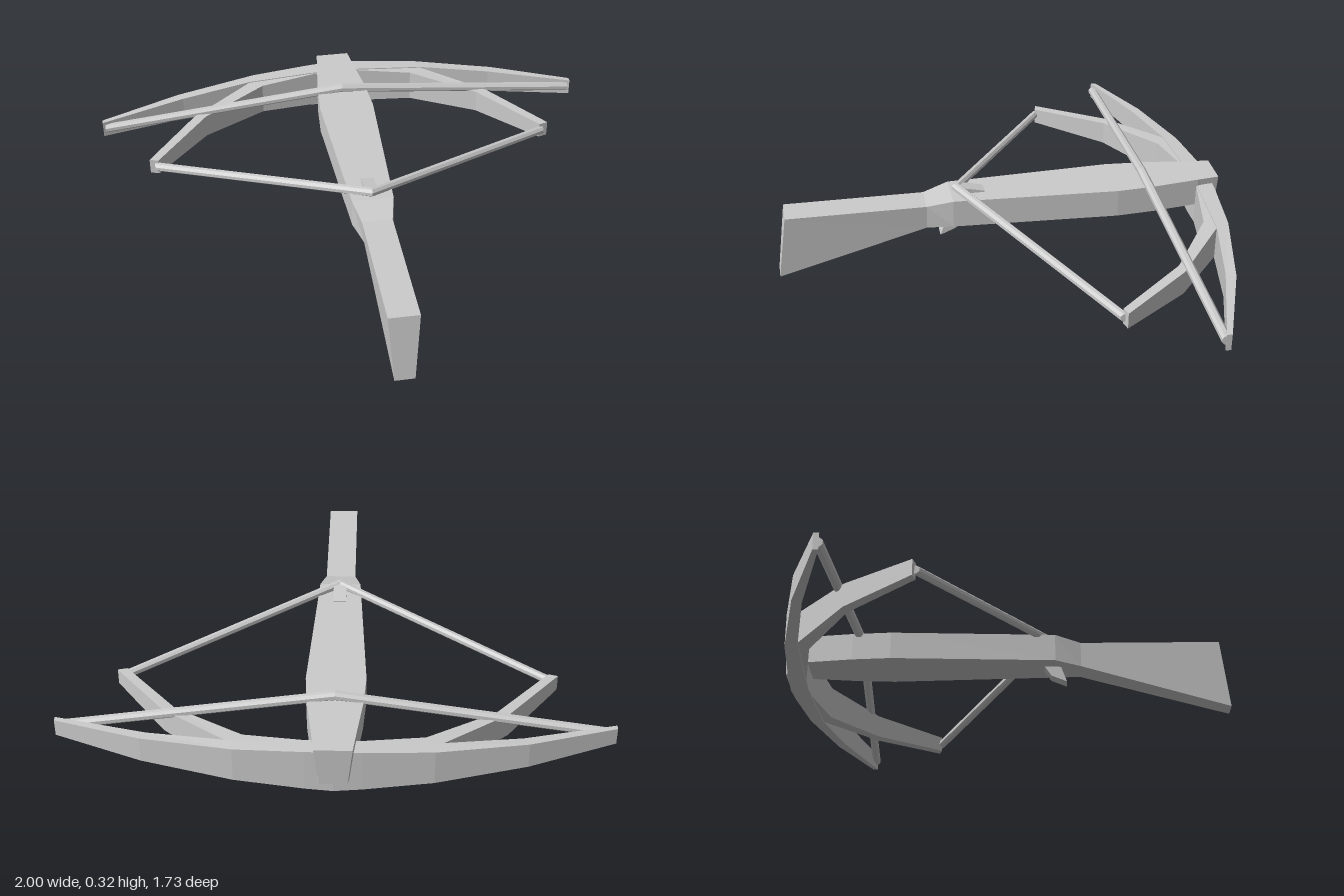
import * as THREE from 'three';

const material = new THREE.MeshStandardMaterial({ color: 0xcccccc, flatShading: true });

// Skin a series of equal-length rings (counter-clockwise seen from the last one) and cap both ends
function loft(name, rings) {
  const n = rings[0].length, last = rings.length - 1, index = [];
  for (let i = 0; i < last; i++) {
    for (let j = 0; j < n; j++) {
      const k = (j + 1) % n, a = i * n, b = a + n;
      index.push(a + j, a + k, b + k, a + j, b + k, b + j);
    }
  }
  for (let j = 1; j < n - 1; j++) {
    index.push(0, j + 1, j);
    index.push(last * n, last * n + j, last * n + j + 1);
  }
  const indexed = new THREE.BufferGeometry();
  indexed.setAttribute('position', new THREE.Float32BufferAttribute(rings.flat(2), 3));
  indexed.setIndex(index);
  const geometry = indexed.toNonIndexed();
  geometry.computeVertexNormals();
  const mesh = new THREE.Mesh(geometry, material);
  mesh.name = name;
  return mesh;
}

// Prism of a (y, z) outline across the width
function slab(name, outline, halfWidth) {
  return loft(name, [-halfWidth, halfWidth].map(x => outline.map(([y, z]) => [x, y, z])));
}

// Symmetric bow: sections are [outer x, outer z, inner x, inner z, bottom y, top y], centre to tip
function bow(name, sections) {
  const ring = ([xo, zo, xi, zi, yb, yt], s) =>
    [[s * xo, yb, zo], [s * xo, yt, zo], [s * xi, yt, zi], [s * xi, yb, zi]];
  const left = sections.map(s => ring(s, 1));
  const right = sections.slice(1).reverse().map(s => ring(s, -1));
  return loft(name, [...right, ...left]);
}

// Mitred string from tip to tip through a raised middle point
function string(name, tip, middle, radius) {
  const dx = tip[0], dz = tip[2] - middle[2], stretch = Math.hypot(dx, dz) / dx;
  const ring = ([x, y, z]) => Array.from({ length: 8 }, (_, i) => {
    const a = (i + 0.5) * Math.PI / 4;
    return [x, y + radius * Math.cos(a), z + radius * stretch * Math.sin(a)];
  });
  return loft(name, [[-tip[0], tip[1], tip[2]], middle, tip].map(ring));
}

export function createModel() {
  const model = new THREE.Group();
  model.name = 'crossbow';

  // Stock sections: [z bottom, z top, y bottom, y top, half width bottom, half width top]
  const stock = [
    [-0.86, -0.865, 0.14, 0.29, 0.05, 0.067],
    [-0.78, -0.78, 0.18, 0.29, 0.077, 0.077],
    [-0.60, -0.60, 0.18, 0.29, 0.10, 0.10],
    [-0.45, -0.45, 0.18, 0.29, 0.11, 0.11],
    [0.19, 0.19, 0.18, 0.29, 0.08, 0.08],
    [0.29, 0.29, 0.168, 0.265, 0.05, 0.058],
    [0.865, 0.83, 0.0, 0.265, 0.038, 0.058],
  ];
  model.add(loft('stock', stock.map(([zb, zt, yb, yt, wb, wt]) =>
    [[-wb, yb, zb], [wb, yb, zb], [wt, yt, zt], [-wt, yt, zt]])));

  // Bow limbs at rest and drawn back
  model.add(bow('restingBow', [
    [0, -0.845, 0, -0.775, 0.095, 0.265],
    [0.10, -0.84, 0.10, -0.775, 0.10, 0.262],
    [0.35, -0.817, 0.37, -0.765, 0.115, 0.25],
    [0.68, -0.742, 0.66, -0.708, 0.133, 0.232],
    [1, -0.625, 1, -0.605, 0.15, 0.215],
  ]));
  model.add(bow('drawnBow', [
    [0, -0.835, 0, -0.775, 0.10, 0.262],
    [0.10, -0.83, 0.08, -0.773, 0.104, 0.259],
    [0.36, -0.775, 0.32, -0.73, 0.118, 0.247],
    [0.62, -0.57, 0.575, -0.56, 0.137, 0.23],
    [0.82, -0.31, 0.785, -0.30, 0.153, 0.215],
  ]));

  // Strings at rest and drawn back
  model.add(string('restingString', [0.99, 0.185, -0.61], [0, 0.305, -0.572], 0.018));
  model.add(string('drawnString', [0.8, 0.185, -0.305], [0, 0.307, 0.167], 0.017));

  // Trigger below and string catch above
  model.add(slab('trigger', [[0.185, 0.21], [0.115, 0.235], [0.14, 0.175], [0.185, 0.145]], 0.025));
  model.add(slab('stringCatch', [[0.28, 0.06], [0.295, 0.06], [0.315, 0.15], [0.28, 0.15]], 0.025));

  return model;
}
